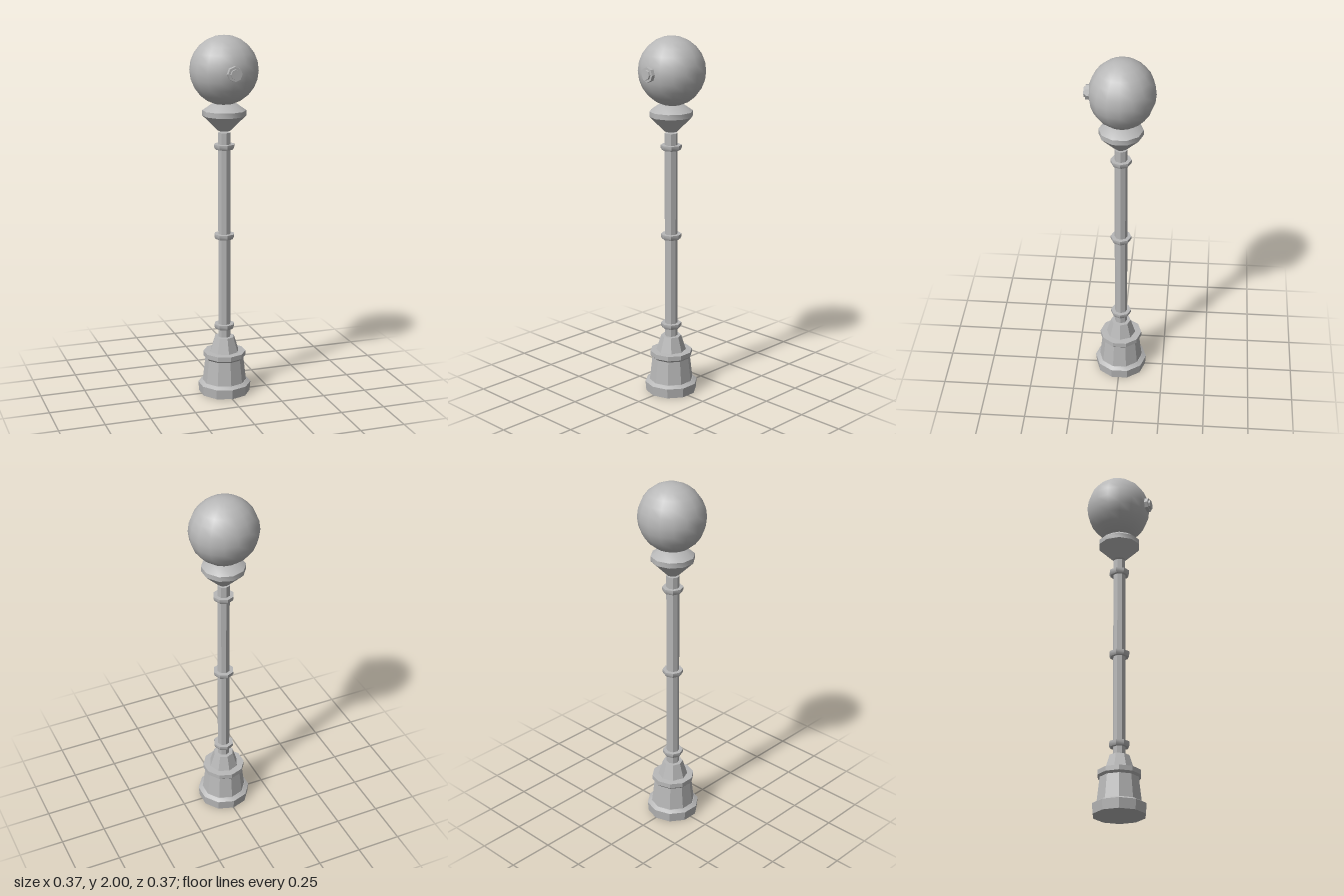
import * as THREE from 'three';
import { toCreasedNormals } from 'three/addons/utils/BufferGeometryUtils.js';

const AXIS_Z = -0.005;

export function createModel() {
  const group = new THREE.Group();
  const castMetal = new THREE.MeshStandardMaterial({ color: 0xb8b8b8 });
  castMetal.name = 'cast grey';

  function add(name, geometry, x, y, z) {
    const mesh = new THREE.Mesh(geometry, castMetal);
    mesh.name = name;
    mesh.position.set(x, y, z);
    group.add(mesh);
    return mesh;
  }

  // Turned part from [radius, height] pairs, listed bottom to top
  function turned(name, profile, sides, crease = 0.5) {
    const points = profile.map(([r, y]) => new THREE.Vector2(r, y));
    const geometry = toCreasedNormals(new THREE.LatheGeometry(points, sides), crease);
    return add(name, geometry, 0, 0, AXIS_Z);
  }

  // Stepped pedestal
  turned('plinth', [[0, 0], [0.142, 0], [0.147, 0.055], [0.125, 0.068], [0, 0.068]], 10);
  turned('pedestal', [[0.122, 0.066], [0.106, 0.205]], 10);
  turned('pedestalFlange',
    [[0, 0.2], [0.106, 0.2], [0.118, 0.212], [0.118, 0.238], [0.08, 0.24], [0, 0.24]], 10);
  turned('pedestalCap', [[0.083, 0.238], [0.056, 0.325], [0, 0.325]], 8);

  // Slim pole with three rings
  turned('pole', [[0.035, 0.32], [0.035, 1.48], [0, 1.48]], 8);
  for (const y of [0.372, 0.89, 1.388]) {
    turned('poleRing',
      [[0.033, y], [0.05, y], [0.057, y + 0.012], [0.057, y + 0.028], [0.033, y + 0.028]], 8);
  }

  // Flared collar under the globe
  turned('globeCollar',
    [[0, 1.488], [0.035, 1.49], [0.118, 1.572], [0.118, 1.6], [0.068, 1.635], [0, 1.637]], 10, 0.66);

  // Globe
  const globe = add('globe', new THREE.SphereGeometry(0.186, 16, 12), 0, 1.814, -0.011);
  globe.scale.z = 0.945;

  // Two-step knob on the front of the globe
  for (const [name, radius, z, depth] of [
    ['knobBase', 0.042, 0.163, 0.026],
    ['knobCap', 0.028, 0.178, 0.016],
  ]) {
    const geometry = toCreasedNormals(new THREE.CylinderGeometry(radius * 0.95, radius, depth, 8), 0.5);
    geometry.rotateX(Math.PI / 2);
    add(name, geometry, 0, 1.815, z);
  }

  return group;
}
